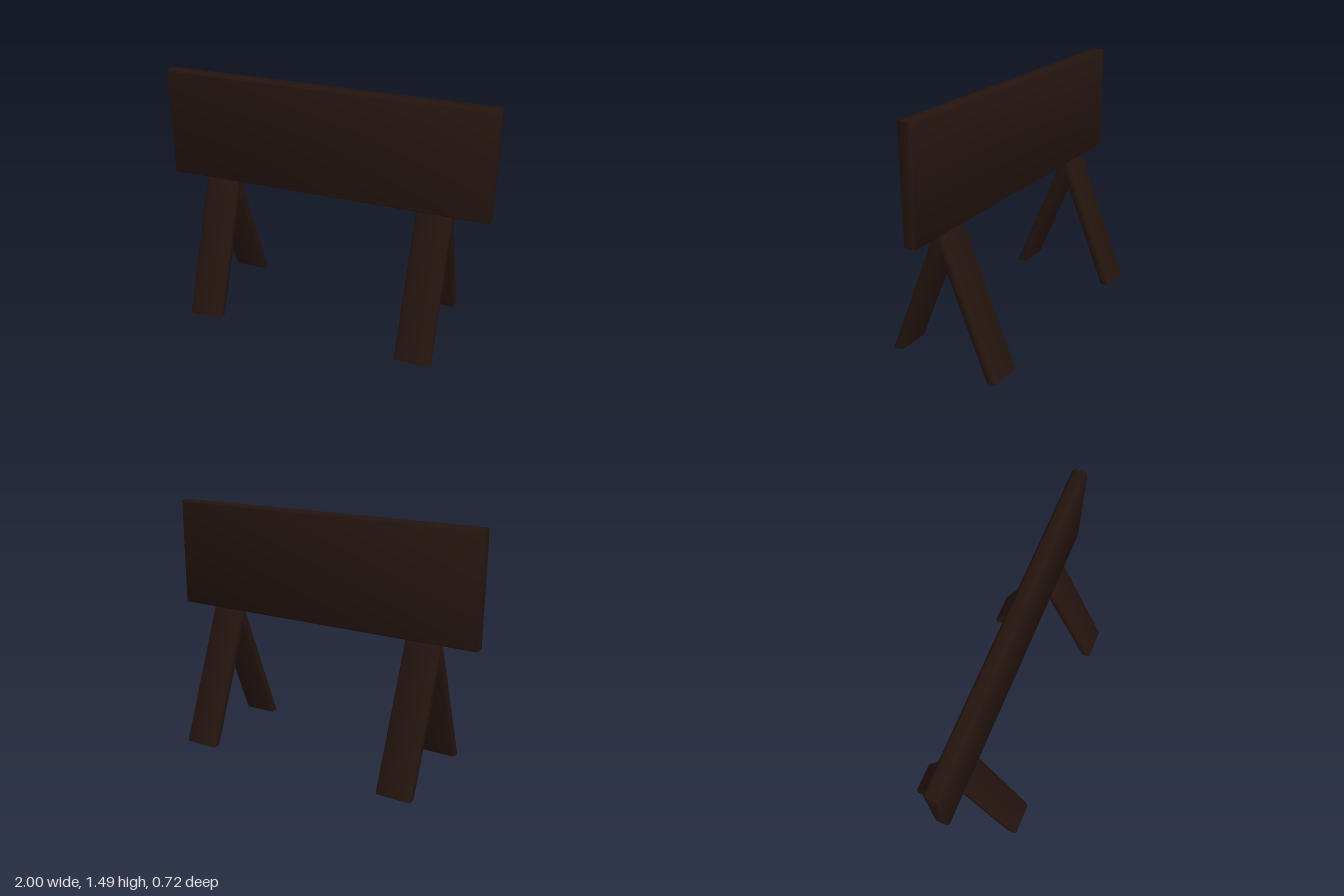
import * as THREE from 'three';
import { toCreasedNormals } from 'three/addons/utils/BufferGeometryUtils.js';

const wood = new THREE.MeshStandardMaterial({ color: 0x24140f });
const CHAMFER = 0.012;

// Rectangle centred on the origin, with optional cut corners
function rectangle(w, h, c = 0) {
  const x = w / 2, y = h / 2;
  const corners = c
    ? [[-x + c, -y], [x - c, -y], [x, -y + c], [x, y - c], [x - c, y], [-x + c, y], [-x, y - c], [-x, -y + c]]
    : [[-x, -y], [x, -y], [x, y], [-x, y]];
  return new THREE.Shape(corners.map(([a, b]) => new THREE.Vector2(a, b)));
}

// Upright slab, chamfered around its front and back faces
function boardGeometry(width, height, thickness) {
  const g = new THREE.ExtrudeGeometry(rectangle(width, height), {
    depth: thickness - 2 * CHAMFER, bevelEnabled: true, bevelSegments: 1,
    bevelThickness: CHAMFER, bevelSize: CHAMFER, bevelOffset: -CHAMFER,
  });
  g.translate(0, 0, CHAMFER - thickness / 2);
  return toCreasedNormals(g, Math.PI / 3);
}

// Chamfered plank leaning inward, cut level at the foot and mitred at z = 0
function legGeometry(width, thickness, height, footZ, slope) {
  const g = new THREE.ExtrudeGeometry(rectangle(width, thickness, CHAMFER), {
    depth: height, steps: 16, bevelEnabled: false,
  });
  g.rotateX(-Math.PI / 2);
  const p = g.attributes.position;
  for (let i = 0; i < p.count; i++) {
    p.setZ(i, Math.max(0, p.getZ(i) + footZ - slope * p.getY(i)));
  }
  return toCreasedNormals(g, Math.PI / 3);
}

export function createModel() {
  const model = new THREE.Group();
  model.name = 'barrier';

  const board = new THREE.Mesh(boardGeometry(2, 0.665, 0.09), wood);
  board.name = 'board';
  board.position.y = 1.1525;
  model.add(board);

  // Two A-shaped trestles, each with a front and a back leg
  const leg = legGeometry(0.214, 0.065, 0.83, 0.328, 0.4115);
  for (const [side, x] of [['left', 0.675], ['right', -0.675]]) {
    const trestle = new THREE.Group();
    trestle.name = side + 'Trestle';
    trestle.position.x = x;
    for (const [end, turn] of [['Front', 0], ['Back', Math.PI]]) {
      const mesh = new THREE.Mesh(leg, wood);
      mesh.name = side + end + 'Leg';
      mesh.rotation.y = turn;
      trestle.add(mesh);
    }
    model.add(trestle);
  }
  return model;
}
